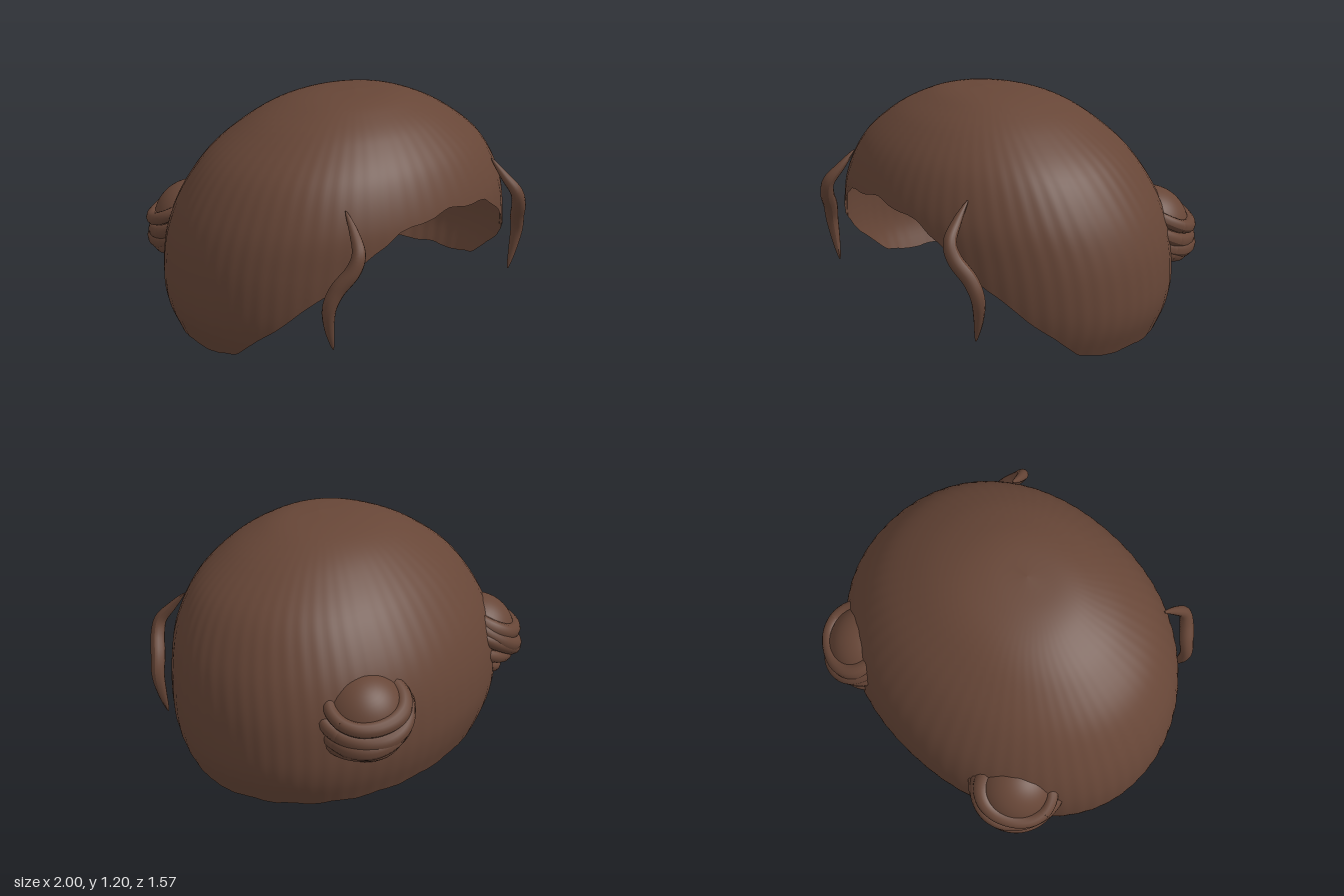
import * as THREE from 'three';

const hairBrown = new THREE.MeshStandardMaterial({ color: 0x674637, side: THREE.DoubleSide });
hairBrown.name = 'hairBrown';

const V = (x, y, z) => new THREE.Vector3(x, y, z);
const spline = (pts, closed = false) => new THREE.CatmullRomCurve3(pts, closed, 'catmullrom');

function addMesh(parent, name, geometry) {
  const mesh = new THREE.Mesh(geometry, hairBrown);
  mesh.name = name;
  parent.add(mesh);
  return mesh;
}

// Cap profile from crown to hem: [height, half width, front z, back z]
const profile = [
  [1.2, 0, 0.13, 0.13], [1.185, 0.22, 0.3, -0.06], [1.14, 0.385, 0.425, -0.235], [1.05, 0.57, 0.565, -0.39],
  [0.9, 0.77, 0.7, -0.555], [0.7, 0.905, 0.783, -0.69], [0.5, 0.975, 0.795, -0.76],
  [0.3, 0.997, 0.785, -0.778], [0.15, 0.985, 0.75, -0.755], [0, 0.93, 0.71, -0.7],
];
const heights = spline(profile.map((p) => V(p[0], 0, 0)));
const extents = spline(profile.map((p) => V(p[1], p[2], p[3])));

// Rim of the opening: [angle from the front, height]
const rim = [[0, 0.715], [0.34, 0.67], [0.49, 0.585], [0.66, 0.455], [0.785, 0.375], [0.93, 0.275],
  [1.16, 0.12], [1.3, 0.045], [1.45, 0.01], [3.2, 0.01]];

function rimHeight(a) {
  const b = Math.abs(a);
  const k = Math.max(1, rim.findIndex((r) => r[0] >= b));
  const [a0, y0] = rim[k - 1];
  const [a1, y1] = rim[k];
  return y0 + ((y1 - y0) * (b - a0)) / (a1 - a0) + 0.005 * Math.cos(22 * a);
}

// Position along the profile where it reaches a given height
function profileAt(y) {
  let lo = 0, hi = 1;
  for (let i = 0; i < 24; i++) {
    const mid = (lo + hi) / 2;
    if (heights.getPoint(mid).x > y) lo = mid;
    else hi = mid;
  }
  return lo;
}

function capGeometry() {
  const cols = 288, rows = 48, pos = [], idx = [];
  for (let i = 0; i < cols; i++) {
    const a = -Math.PI + (i / cols) * Math.PI * 2;
    const end = profileAt(Math.max(0.002, rimHeight(a)));
    const s = Math.sin(a), c = Math.cos(a);
    for (let j = 0; j <= rows; j++) {
      const t = (end * j) / rows;
      const e = extents.getPoint(t);
      const mid = (e.y + e.z) / 2, depth = (e.y - e.z) / 2;
      // fine combed waves that fade out at the crown
      const wave = 1 + 0.0015 * Math.min(1, t * 2) * Math.cos(60 * a + 3 * Math.sin(t * 6) * s * s);
      pos.push(e.x * wave * Math.sign(s) * Math.abs(s) ** 0.95, heights.getPoint(t).x,
        mid + depth * wave * Math.sign(c) * Math.abs(c) ** 0.94);
      if (j < rows) {
        const p = i * (rows + 1) + j, q = ((i + 1) % cols) * (rows + 1) + j;
        idx.push(p, p + 1, q + 1);
        if (j > 0) idx.push(p, q + 1, q);
      }
    }
  }
  const g = new THREE.BufferGeometry();
  g.setAttribute('position', new THREE.Float32BufferAttribute(pos, 3));
  g.setIndex(idx);
  g.computeVertexNormals();
  return g;
}

// Tube whose thickness follows radius(u) along the path
function taperedTube(path, radius, segs = 48, sides = 12) {
  const g = new THREE.TubeGeometry(path, segs, 1, sides, false);
  const p = g.attributes.position, v = V(0, 0, 0);
  for (let i = 0; i <= segs; i++) {
    const centre = path.getPointAt(i / segs), r = radius(i / segs);
    for (let j = 0; j <= sides; j++) {
      const k = i * (sides + 1) + j;
      v.fromBufferAttribute(p, k).sub(centre).multiplyScalar(r).add(centre);
      p.setXYZ(k, v.x, v.y, v.z);
    }
  }
  g.computeVertexNormals();
  return g;
}

// Hair bun: a ball wrapped in wavy coils, leaning outward and back
function makeBun(side) {
  const bun = new THREE.Group();
  bun.name = side > 0 ? 'leftBun' : 'rightBun';
  addMesh(bun, 'bunBall', new THREE.SphereGeometry(0.218, 40, 28));
  const coils = [[-0.09, 0.185], [-0.035, 0.214], [0.02, 0.222], [0.07, 0.21], [0.115, 0.182]];
  coils.forEach(([h, r], n) => {
    const pts = [];
    for (let k = 0; k < 16; k++) {
      const a = (k / 16) * Math.PI * 2;
      const rr = r + 0.007 * Math.sin(3 * a + n * 2);
      pts.push(V(side * rr * Math.cos(a), h + 0.018 * Math.sin(a + n * 1.9), rr * Math.sin(a)));
    }
    const path = spline(pts, true);
    addMesh(bun, 'bunCoil', taperedTube(path, (u) => 0.04 + 0.007 * Math.sin(u * Math.PI * 2 + n), 72));
  });
  bun.position.set(side * 0.56, 0.46, -0.525);
  bun.quaternion.setFromUnitVectors(V(0, 1, 0), V(side * 0.4, 1, -0.36).normalize());
  return bun;
}

// Loose lock hanging beside the face
function makeLock(side) {
  const path = spline([
    [0.55, 0.805, 0.605], [0.57, 0.72, 0.68], [0.6, 0.64, 0.74], [0.635, 0.56, 0.735],
    [0.69, 0.47, 0.69], [0.722, 0.38, 0.668], [0.712, 0.27, 0.657], [0.68, 0.145, 0.652],
  ].map(([x, y, z]) => V(side * x, y, z)));
  const radius = (u) => 0.003 + 0.036 * Math.sin(Math.PI * u) ** 0.75;
  const mesh = new THREE.Mesh(taperedTube(path, radius), hairBrown);
  mesh.name = side > 0 ? 'leftLock' : 'rightLock';
  return mesh;
}

export function createModel() {
  const model = new THREE.Group();
  model.name = 'hair';
  addMesh(model, 'hairCap', capGeometry());
  for (const side of [1, -1]) model.add(makeBun(side), makeLock(side));
  return model;
}
